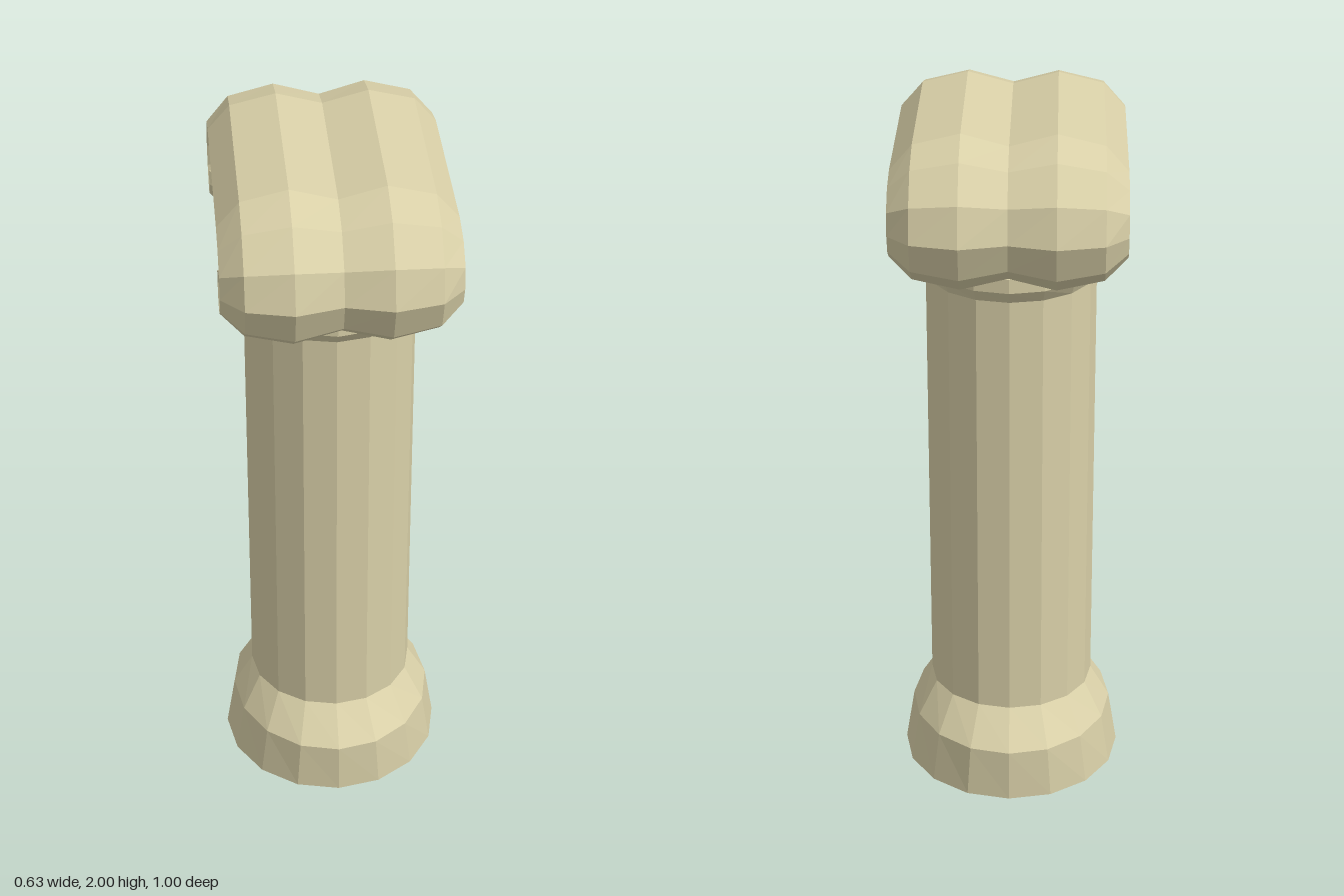
import * as THREE from 'three';

const stone = new THREE.MeshStandardMaterial({
  color: 0xd9d0a8, flatShading: true, side: THREE.DoubleSide,
});

// Lathed piece whose depth differs from its width: rings are [y, x radius, z radius]
function turned(name, rings) {
  const points = rings.map(([y, rx]) => new THREE.Vector2(rx, y));
  const geometry = new THREE.LatheGeometry(points, 16);
  const position = geometry.attributes.position;
  for (let i = 0; i < position.count; i++) {
    const [, rx, rz] = rings[i % rings.length];
    position.setZ(i, position.getZ(i) * rz / rx);
  }
  const mesh = new THREE.Mesh(geometry.toNonIndexed(), stone);
  mesh.geometry.computeVertexNormals();
  mesh.name = name;
  return mesh;
}

// Band rolled into a scroll at both ends
function scrollGeometry() {
  // Outer and inner guide points along one half: [outer z, outer y, inner z, inner y]
  const half = [
    [0.26, 2.0, 0.26, 1.83],
    [0.385, 1.965, 0.315, 1.82],
    [0.47, 1.88, 0.345, 1.8],
    [0.5, 1.775, 0.335, 1.77],
    [0.46, 1.675, 0.33, 1.755],
    [0.385, 1.62, 0.32, 1.75],
    [0.3, 1.59, 0.315, 1.75],
    [0.217, 1.62, 0.31, 1.75],
    [0.185, 1.695, 0.305, 1.76],
    [0.2, 1.775, 0.3, 1.77],
  ];
  const stations = [
    ...half.slice().reverse(),
    ...half.map(([oz, oy, iz, iy]) => [-oz, oy, -iz, iy]),
  ];
  // Cross-section: [x, depth from outer guide (0) to inner guide (1)]
  const profile = [
    [-0.31, 0.59], [-0.25, 0.18], [-0.125, 0], [0, 0.2], [0.125, 0],
    [0.25, 0.18], [0.31, 0.59], [0.25, 1], [-0.25, 1],
  ];
  const n = profile.length;
  const vertices = [];
  const faces = [];
  for (const [oz, oy, iz, iy] of stations) {
    for (const [x, t] of profile) {
      vertices.push(x, oy + (iy - oy) * t, oz + (iz - oz) * t);
    }
  }
  for (let i = 0; i < stations.length - 1; i++) {
    for (let j = 0; j < n; j++) {
      const a = i * n + j, b = i * n + (j + 1) % n;
      faces.push(a, b, b + n, a, b + n, a + n);
    }
  }
  // Closed ends inside the curls
  const last = (stations.length - 1) * n;
  for (let j = 0; j < n - 2; j++) {
    faces.push(n - 1, j + 1, j);
    faces.push(last + n - 1, last + j, last + j + 1);
  }
  const geometry = new THREE.BufferGeometry();
  geometry.setAttribute('position', new THREE.Float32BufferAttribute(vertices, 3));
  geometry.setIndex(faces);
  const flat = geometry.toNonIndexed();
  flat.computeVertexNormals();
  return flat;
}

export function createModel() {
  const column = new THREE.Group();
  column.name = 'column';

  column.add(turned('base', [
    [0, 0.315, 0.33], [0.155, 0.29, 0.33], [0.25, 0.235, 0.235],
  ]));
  column.add(turned('shaft', [
    [0.25, 0.235, 0.235], [1.52, 0.235, 0.235],
  ]));
  column.add(turned('collar', [
    [1.52, 0.235, 0.235], [1.56, 0.247, 0.27], [1.6, 0.247, 0.27], [1.63, 0.235, 0.235],
  ]));
  column.add(turned('neck', [
    [1.63, 0.235, 0.235], [1.82, 0.235, 0.235],
  ]));

  const scroll = new THREE.Mesh(scrollGeometry(), stone);
  scroll.name = 'scrollCapital';
  column.add(scroll);
  return column;
}
